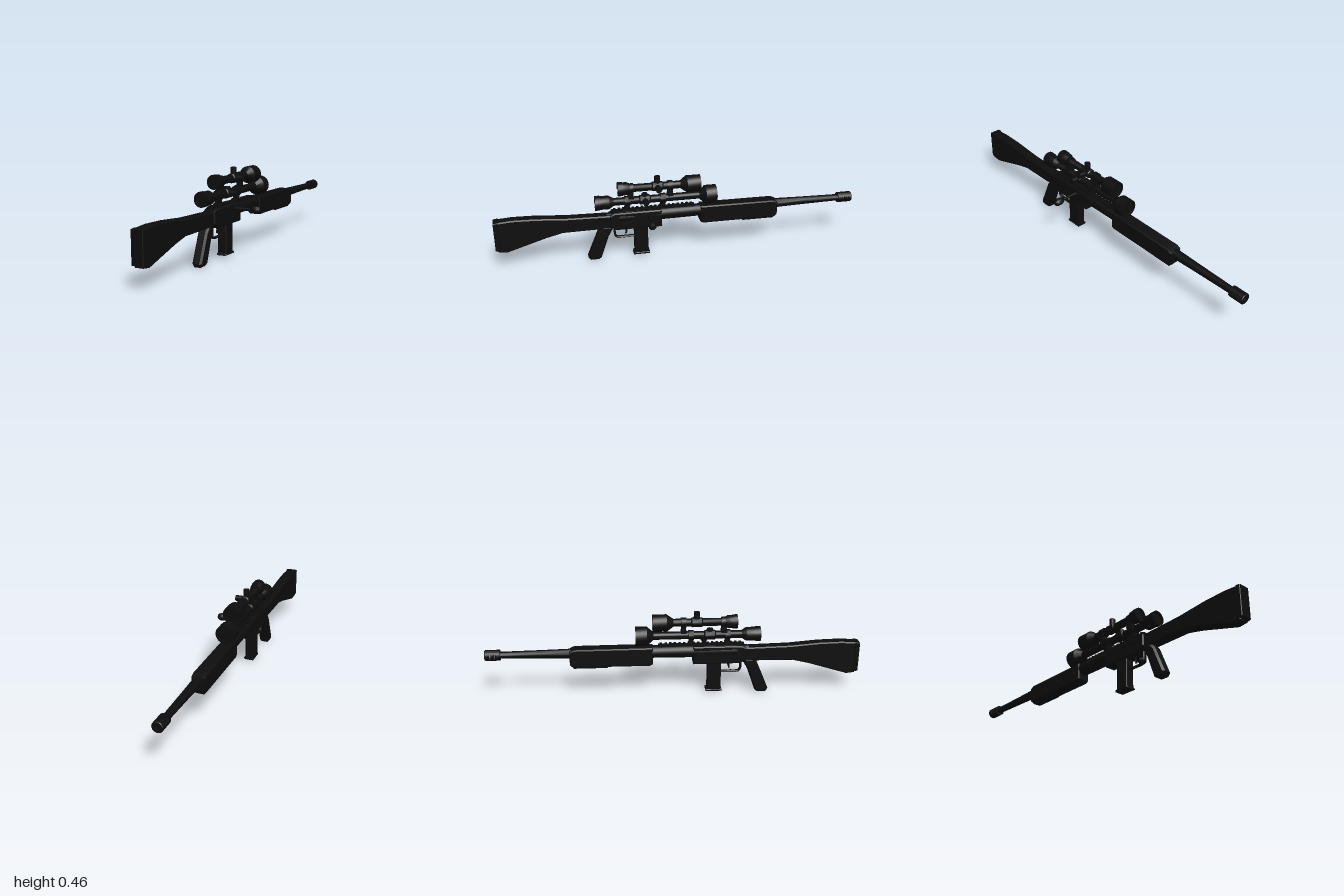
import * as THREE from 'three';
import { toCreasedNormals } from 'three/addons/utils/BufferGeometryUtils.js';

export function createModel() {
  const model = new THREE.Group();
  const body = new THREE.Group();
  body.name = 'rifle';
  body.position.x = -0.07; // the bolt handle sticks out to +x
  model.add(body);

  const black = new THREE.MeshStandardMaterial({ color: 0x0d0d0d, side: THREE.DoubleSide });
  black.name = 'matte black';

  const add = (name, geo) => {
    const mesh = new THREE.Mesh(toCreasedNormals(geo, 0.6), black);
    mesh.name = name;
    body.add(mesh);
    return mesh;
  };
  const box = (name, w, h, d, x, y, z) =>
    add(name, new THREE.BoxGeometry(w, h, d)).position.set(x, y, z);
  // Side outline of [z, y] points, extruded across the width with a chamfer
  const slab = (name, width, points, bevel = 0.006) => {
    const shape = new THREE.Shape(points.map(([z, y]) => new THREE.Vector2(z, y)));
    const depth = width - 2 * bevel;
    const geo = new THREE.ExtrudeGeometry(shape, {
      depth, bevelThickness: bevel, bevelSize: bevel, bevelOffset: -bevel, bevelSegments: 1,
    });
    geo.translate(0, 0, -depth / 2).rotateY(-Math.PI / 2);
    return add(name, geo);
  };
  // Profile of [z, radius] points turned about the z axis, z ascending
  const turned = (name, y, points, sides = 24) => {
    const geo = new THREE.LatheGeometry(points.map(([z, r]) => new THREE.Vector2(r, z)), sides);
    return add(name, geo.rotateX(Math.PI / 2).translate(0, y, 0));
  };

  // Stock and butt pad
  slab('stock', 0.058, [[0.985, 0.105], [0.985, 0.28], [0.9, 0.286], [0.78, 0.283], [0.62, 0.27],
    [0.37, 0.264], [0.37, 0.19], [0.64, 0.187], [0.73, 0.165], [0.94, 0.1]]);
  slab('buttPad', 0.064, [[0.975, 0.11], [0.975, 0.282], [1, 0.278], [1, 0.116]], 0.003);

  // Receiver
  slab('receiver', 0.07, [[0.385, 0.2], [0.385, 0.265], [0.36, 0.278], [0.1, 0.278],
    [0.1, 0.178], [0.355, 0.178]]);
  turned('receiverTube', 0.246, [[-0.12, 0], [-0.12, 0.034], [0.33, 0.038], [0.36, 0.03], [0.4, 0.026], [0.4, 0]]);
  box('ejectionPort', 0.006, 0.03, 0.12, 0.035, 0.248, 0.19);

  // Top rail with cross teeth
  box('rail', 0.034, 0.012, 0.46, 0, 0.278, 0.145);
  for (let i = 0; i < 18; i++) box('railTooth', 0.04, 0.006, 0.013, 0, 0.286, -0.07 + i * 0.025);

  // Fore-end with lower step and side slots
  slab('foreEnd', 0.072, [[-0.115, 0.185], [-0.115, 0.278], [-0.53, 0.276], [-0.555, 0.265],
    [-0.555, 0.19], [-0.54, 0.176], [-0.13, 0.176]]);
  slab('foreEndStep', 0.05, [[-0.34, 0.18], [-0.545, 0.18], [-0.535, 0.166], [-0.36, 0.166]], 0.003);
  for (const side of [-1, 1]) {
    for (let i = 0; i < 5; i++) box('foreEndRib', 0.003, 0.014, 0.05, side * 0.0365, 0.232, -0.18 - i * 0.075);
  }

  // Barrel and slotted muzzle brake
  turned('barrel', 0.246, [[-0.93, 0], [-0.93, 0.018], [-0.7, 0.022], [-0.54, 0.026], [-0.54, 0]]);
  const ring = (z0, z1) => turned('brakeRing', 0.246,
    [[z0, 0.014], [z0, 0.026], [z0 + 0.004, 0.029], [z1, 0.029], [z1, 0.014], [z0, 0.014]]);
  ring(-1, -0.984);
  ring(-0.967, -0.958);
  ring(-0.944, -0.92);
  for (const start of [0, Math.PI]) {
    const arc = new THREE.CylinderGeometry(0.029, 0.029, 0.07, 16, 1, true, start - 1.15, 2.3);
    add('brakeShell', arc.rotateX(Math.PI / 2)).position.set(0, 0.246, -0.96);
  }

  // Pistol grip
  slab('grip', 0.054, [[0.45, 0.17], [0.425, 0.2], [0.375, 0.2], [0.372, 0.18], [0.395, 0.14],
    [0.44, 0.012], [0.455, 0.002], [0.5, 0.002], [0.512, 0.02]], 0.01);

  // Magazine with ribs and floor plate
  slab('magazine', 0.05, [[0.252, 0.19], [0.252, 0.016], [0.178, 0.016], [0.178, 0.19]], 0.004);
  slab('magazineFloor', 0.056, [[0.26, 0.014], [0.255, 0.026], [0.17, 0.026], [0.17, 0.014]], 0.003);
  for (const side of [-1, 1]) {
    for (const z of [0.195, 0.215, 0.235]) box('magazineRib', 0.004, 0.13, 0.008, side * 0.025, 0.1, z);
  }

  // Trigger and guard
  const guard = new THREE.CatmullRomCurve3([[0.182, 0.36], [0.135, 0.357], [0.123, 0.345], [0.122, 0.3], [0.122, 0.25]]
    .map(([y, z]) => new THREE.Vector3(0, y, z)), false, 'centripetal');
  add('triggerGuard', new THREE.TubeGeometry(guard, 20, 0.006, 6).scale(2, 1, 1));
  slab('trigger', 0.012, [[0.31, 0.185], [0.294, 0.185], [0.288, 0.16], [0.295, 0.14], [0.302, 0.14], [0.299, 0.16]], 0.001);

  // Bolt handle and knob
  const bolt = add('boltHandle', new THREE.CylinderGeometry(0.008, 0.008, 0.12, 12).rotateZ(Math.PI / 2));
  bolt.position.set(0.08, 0.254, 0.175);
  const knob = [[0, 0], [0.009, 0], [0.018, 0.012], [0.021, 0.025], [0.021, 0.042], [0.014, 0.056], [0, 0.058]]
    .map(([r, y]) => new THREE.Vector2(r, y));
  add('boltKnob', new THREE.LatheGeometry(knob, 12).rotateZ(-Math.PI / 2)).position.set(0.13, 0.254, 0.175);

  // Scope: bells at both ends with recessed lenses; the objective faces -z
  function scope(prefix, y, front, back, rFront, rBack, bellFront, bellBack, turretZ, sideReach, topReach) {
    const tube = 0.021;
    turned(prefix + 'Tube', y, [
      [front + 0.015, 0], [front + 0.015, rFront - 0.007], [front, rFront - 0.007], [front, rFront],
      [front + bellFront, rFront], [front + bellFront + 0.035, tube],
      [back - bellBack - 0.025, tube], [back - bellBack, rBack - 0.003], [back - 0.025, rBack - 0.003],
      [back - 0.025, rBack], [back, rBack], [back, rBack - 0.007], [back - 0.012, rBack - 0.007], [back - 0.012, 0],
    ], 28);
    turned(prefix + 'Saddle', y, [[turretZ - 0.032, tube], [turretZ - 0.026, 0.026],
      [turretZ + 0.026, 0.026], [turretZ + 0.032, tube]]);
    // Adjustment turrets
    const top = add(prefix + 'TopTurret', new THREE.CylinderGeometry(0.016, 0.016, topReach, 16));
    top.position.set(0, y + topReach / 2, turretZ);
    const side = add(prefix + 'SideTurret', new THREE.CylinderGeometry(0.016, 0.016, sideReach, 16).rotateZ(Math.PI / 2));
    side.position.set(sideReach / 2, y, turretZ);
  }
  scope('lowerScope', 0.335, -0.205, 0.46, 0.051, 0.04, 0.06, 0.075, 0.19, 0.056, 0.036);
  scope('upperScope', 0.407, -0.115, 0.335, 0.046, 0.038, 0.075, 0.05, 0.12, 0.06, 0.058);

  // Scope rings and mounting feet
  for (const [name, y, z, bottom] of [
    ['lowerMount', 0.335, 0.285, 0.282], ['lowerMount', 0.335, 0.09, 0.282],
    ['upperMount', 0.407, 0.265, 0.35], ['upperMount', 0.407, 0.05, 0.35],
  ]) {
    turned(name + 'Ring', y, [[z - 0.014, 0.02], [z - 0.014, 0.027], [z + 0.014, 0.027], [z + 0.014, 0.02]]);
    box(name + 'Foot', 0.028, y - 0.015 - bottom, 0.026, 0, (y - 0.015 + bottom) / 2, z);
    box(name + 'Clamp', 0.046, 0.01, 0.03, 0, bottom + 0.006, z);
  }

  return model;
}
